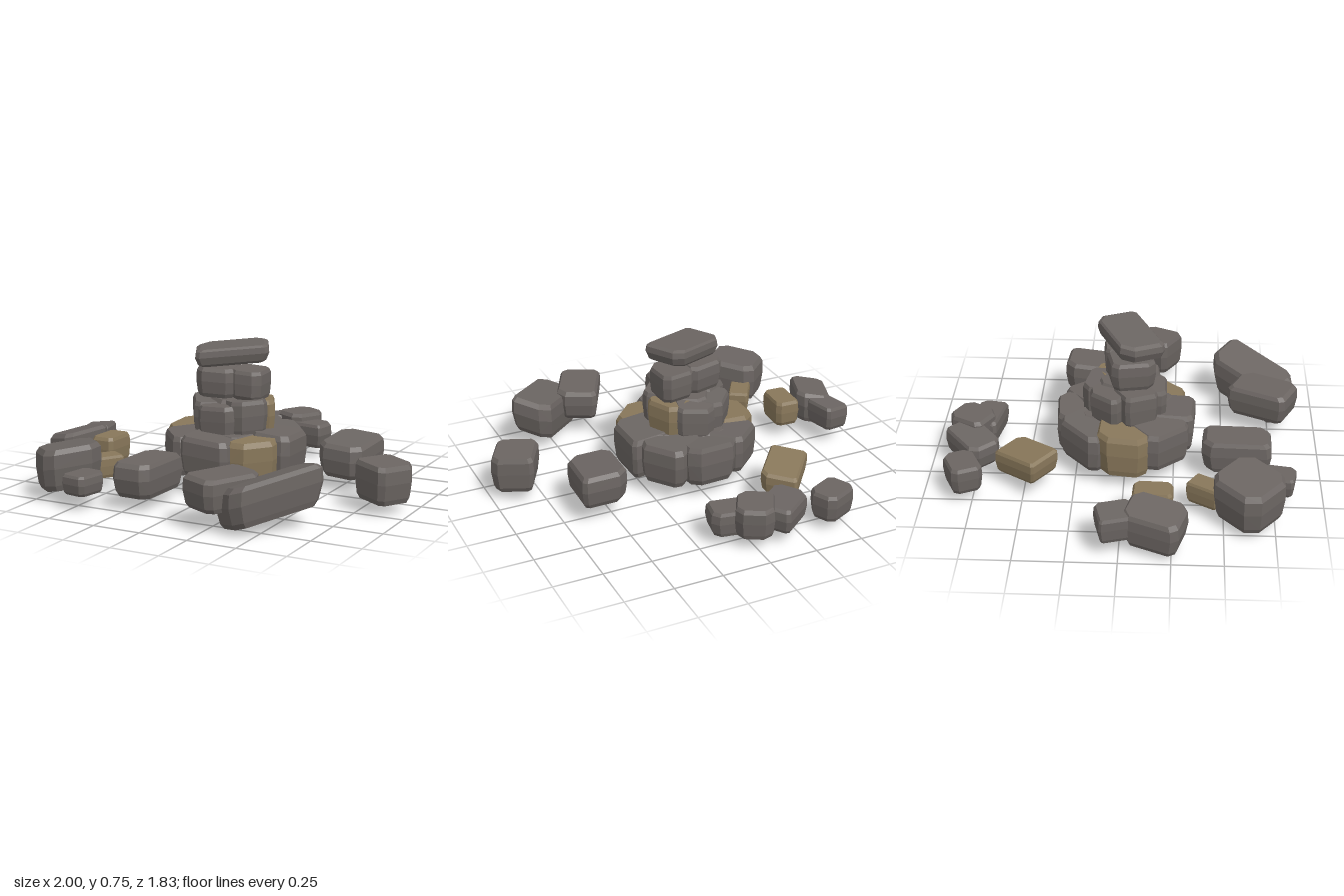
import * as THREE from 'three';
import { ConvexGeometry } from 'three/addons/geometries/ConvexGeometry.js';

const slate = new THREE.MeshStandardMaterial({ name: 'slate grey', color: 0x6b6562 });
const sand = new THREE.MeshStandardMaterial({ name: 'sandy brown', color: 0x88775a });

// Small seeded generator for uneven stone faces
let seed = 7;
const random = () => {
  seed = (seed * 16807) % 2147483647;
  return seed / 2147483647;
};
const wobble = (amount) => (random() * 2 - 1) * amount;

// Chamfered convex stone: centre, size and turn of its footprint, bottom and top height, tilts
function stone(name, x, z, width, depth, degrees, bottom, top, material = slate, tiltX = 0, tiltZ = 0) {
  const turn = THREE.MathUtils.degToRad(degrees);

  // Rectangle with unevenly cut corners
  const outline = [];
  for (const [sx, sz] of [[1, 1], [-1, 1], [-1, -1], [1, -1]]) {
    const cut = Math.min(width, depth) * (0.05 + 0.2 * random());
    outline.push([sx * (width / 2 - cut), sz * depth / 2], [sx * width / 2, sz * (depth / 2 - cut)]);
  }

  // Cross-sections from the underside to the top: height fraction, scale
  const points = [];
  for (const [f, scale] of [[0, 0.84], [0.14, 0.93], [0.55, 1], [0.88, 0.98], [1, 0.88]]) {
    const su = scale + wobble(0.015), sv = scale + wobble(0.015);
    for (const [u, v] of outline) {
      const dx = u * su * Math.cos(turn) - v * sv * Math.sin(turn);
      const dz = u * su * Math.sin(turn) + v * sv * Math.cos(turn);
      const y = bottom + (top - bottom) * f + tiltX * dx + tiltZ * dz;
      points.push(new THREE.Vector3(x + dx, y, z + dz));
    }
  }
  const mesh = new THREE.Mesh(new ConvexGeometry(points), material);
  mesh.name = name;
  return mesh;
}

// Ring of stones pointing outward, with the listed ones in sandy brown
function ring(name, count, start, centreX, radius, width, depth, bottom, top, sandy) {
  const g = new THREE.Group();
  g.name = name;
  for (let i = 0; i < count; i++) {
    const degrees = start + (i * 360) / count;
    const a = THREE.MathUtils.degToRad(degrees);
    g.add(stone(name + 'Stone', centreX + radius * Math.cos(a), radius * Math.sin(a), width, depth,
      degrees + wobble(9), bottom + wobble(0.012), top + wobble(0.015),
      sandy.includes(i) ? sand : slate, wobble(0.09), wobble(0.09)));
  }
  return g;
}

export function createModel() {
  seed = 7;
  const model = new THREE.Group();
  model.name = 'stoneCairn';

  // Stack: wide foot, second layer, two bearing stones and a capstone
  model.add(
    stone('baseCore', -0.02, 0, 0.42, 0.42, 20, 0.07, 0.3),
    ring('baseTier', 8, 0, -0.025, 0.235, 0.24, 0.27, 0.085, 0.3, [1, 4]),
    stone('secondCore', -0.03, 0, 0.24, 0.24, 30, 0.28, 0.46),
    ring('secondTier', 6, -25, -0.03, 0.12, 0.18, 0.2, 0.28, 0.45, [0]),
    stone('thirdRight', -0.1, 0.03, 0.2, 0.23, -12, 0.47, 0.62, slate, -0.04),
    stone('thirdLeft', 0.06, -0.01, 0.17, 0.21, -5, 0.46, 0.61, slate, -0.06),
    stone('capstone', -0.03, 0.02, 0.37, 0.23, -27, 0.645, 0.735, slate, 0.06, -0.07),
  );

  // Loose stones scattered around the stack
  const loose = new THREE.Group();
  loose.name = 'scatteredStones';
  model.add(loose);
  const scatter = (...spec) => loose.add(stone(...spec));
  scatter('backSmall', -0.44, -0.8, 0.2, 0.16, -25, 0.06, 0.2);
  scatter('backFlat', -0.18, -0.78, 0.27, 0.18, -40, 0.07, 0.2, slate, 0.1);
  scatter('backMiddle', -0.02, -0.8, 0.19, 0.21, 29, 0.07, 0.23);
  scatter('backEnd', 0.06, -0.73, 0.25, 0.15, 10, 0.06, 0.19);
  scatter('backSand', -0.345, -0.49, 0.19, 0.28, 40, 0.09, 0.21, sand, 0, 0.13);
  scatter('leftBack', 0.545, -0.19, 0.24, 0.32, 4, 0.09, 0.26, slate, -0.05, -0.08);
  scatter('leftFar', 0.86, 0.14, 0.22, 0.23, 28, 0.06, 0.25, slate, -0.06);
  scatter('leftFrontLarge', 0.505, 0.67, 0.21, 0.46, 40, 0.06, 0.26, slate, 0.3);
  scatter('leftFrontBlock', 0.285, 0.72, 0.22, 0.33, 26, 0.1, 0.26);
  scatter('frontSlab', -0.21, 0.57, 0.2, 0.35, 2, 0.07, 0.24);
  scatter('rightFrontLarge', -0.64, 0.62, 0.28, 0.3, 43, 0.06, 0.27, slate, 0.14);
  scatter('rightFrontSmall', -0.455, 0.765, 0.14, 0.18, 10, 0.08, 0.18);
  scatter('rightFrontSand', -0.56, 0.415, 0.11, 0.18, 32, 0.07, 0.18, sand);
  scatter('rightSand', -0.68, 0.155, 0.13, 0.2, 2, 0.08, 0.22, sand);
  scatter('rightLong', -0.875, 0.17, 0.19, 0.29, 20, 0.06, 0.23, slate, 0.2);
  scatter('rightBack', -0.87, -0.01, 0.15, 0.2, -15, 0.09, 0.22, slate, 0.1);

  return model;
}
